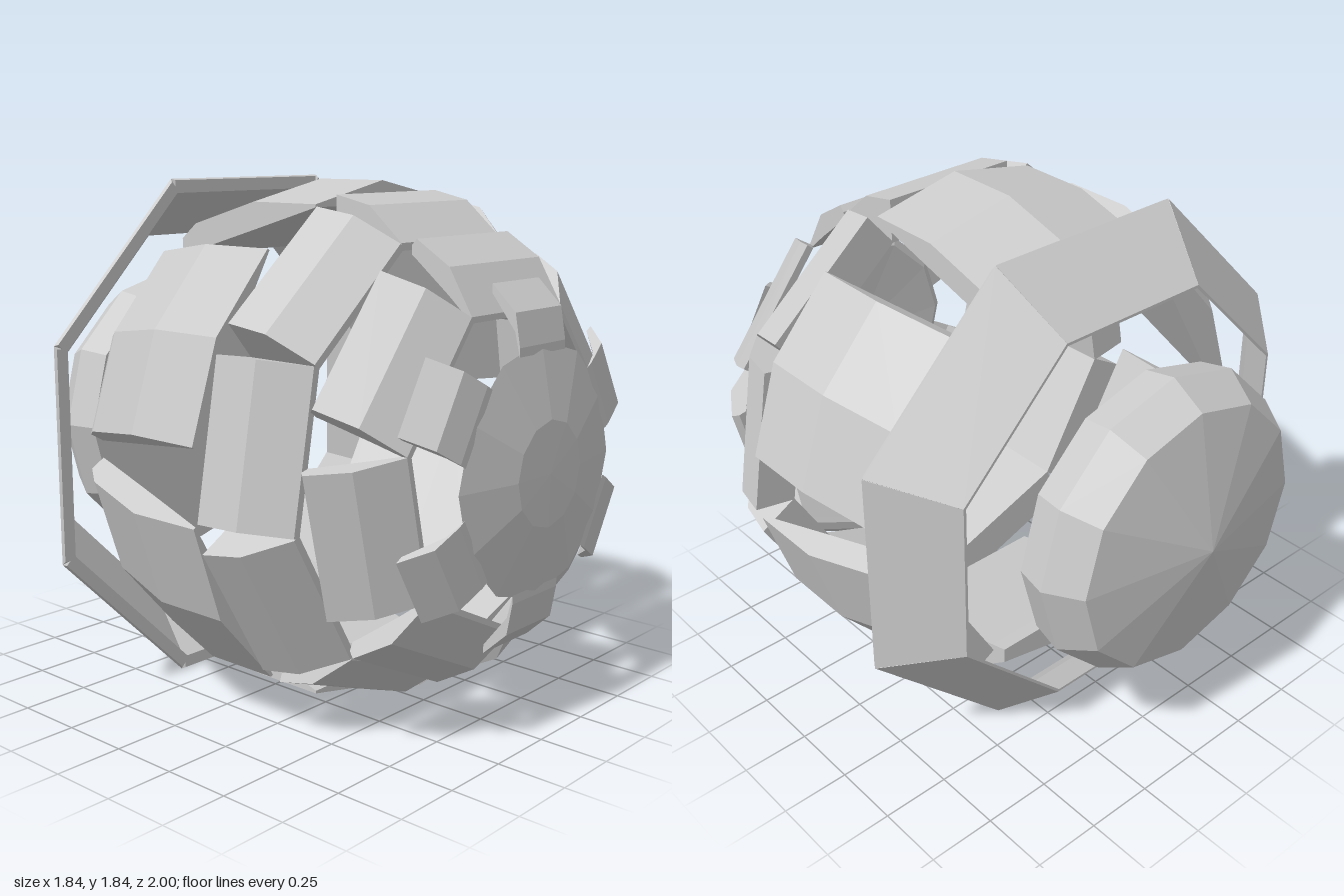
import * as THREE from 'three';

const material = new THREE.MeshStandardMaterial({ color: 0xcccccc, flatShading: true, side: THREE.DoubleSide });

// Wedge-shaped plate lofted along z; stations are [z, outerRadius, innerRadius, halfWidth] with z rising.
// drop lowers the outer side edges so that a ridge runs along the middle.
function plateGeometry(stations, drop = 0) {
  const loops = stations.map(([z, outer, inner, w]) => {
    const loop = [[-w, inner], [w, inner], [w, outer - drop]];
    if (drop) loop.push([0, outer]);
    loop.push([-w, outer - drop]);
    return loop.map(([x, y]) => [x, y, z]);
  });
  const n = loops[0].length;
  const pos = [];
  const tri = (a, b, c) => pos.push(...a, ...b, ...c);
  for (let s = 0; s < loops.length - 1; s++) {
    for (let i = 0; i < n; i++) {
      const j = (i + 1) % n;
      tri(loops[s][i], loops[s][j], loops[s + 1][j]);
      tri(loops[s][i], loops[s + 1][j], loops[s + 1][i]);
    }
  }
  const first = loops[0], last = loops[loops.length - 1];
  for (let i = 1; i < n - 1; i++) {
    tri(first[0], first[i + 1], first[i]);
    tri(last[0], last[i], last[i + 1]);
  }
  const geometry = new THREE.BufferGeometry();
  geometry.setAttribute('position', new THREE.Float32BufferAttribute(pos, 3));
  geometry.computeVertexNormals();
  return geometry;
}

// Ring of equal plates around the z axis, the first one on top
function plateRing(name, count, stations, drop) {
  const ring = new THREE.Group();
  ring.name = name;
  const geometry = plateGeometry(stations, drop);
  for (let i = 0; i < count; i++) {
    const plate = new THREE.Mesh(geometry, material);
    plate.name = name + 'Plate' + (i + 1);
    plate.rotation.z = (i / count) * Math.PI * 2;
    ring.add(plate);
  }
  return ring;
}

// Twelve-sided disc turned around the z axis; points are [radius, z] from back to front
function disc(name, points) {
  const profile = points.map(([r, z]) => new THREE.Vector2(r, z));
  const mesh = new THREE.Mesh(new THREE.LatheGeometry(profile, 12).rotateX(Math.PI / 2), material);
  mesh.name = name;
  return mesh;
}

export function createModel() {
  const model = new THREE.Group();
  model.name = 'segmentedSphere';
  const shell = new THREE.Group();
  shell.name = 'shell';
  shell.position.y = 0.92;
  model.add(shell);

  // Front cap with six bent tabs
  shell.add(disc('frontCap', [[0, 0.95], [0.4, 0.93], [0.43, 0.95], [0.18, 0.998], [0, 1]]));
  shell.add(plateRing('frontTabs', 6, [
    [0.845, 0.615, 0.585, 0.13],
    [0.935, 0.53, 0.47, 0.13],
    [0.955, 0.42, 0.39, 0.13],
  ]));

  // Front ring of seven plates
  shell.add(plateRing('frontRing', 7, [
    [0.615, 0.73, 0.7, 0.25],
    [0.635, 0.75, 0.685, 0.25],
    [0.765, 0.67, 0.58, 0.25],
    [0.855, 0.52, 0.5, 0.25],
  ]));

  // Second ring of nine plates
  shell.add(plateRing('secondRing', 9, [
    [0.31, 0.88, 0.72, 0.265],
    [0.45, 0.85, 0.715, 0.265],
    [0.585, 0.735, 0.71, 0.265],
  ]));

  // Middle ring of six long ridged plates
  shell.add(plateRing('middleRing', 6, [
    [-0.36, 0.78, 0.65, 0.34],
    [-0.29, 0.835, 0.67, 0.34],
    [0, 0.92, 0.755, 0.34],
    [0.285, 0.92, 0.84, 0.34],
  ], 0.07));

  // Flared eight-sided collar
  shell.add(plateRing('rearCollar', 8, [
    [-0.6, 0.715, 0.705, 0.296],
    [-0.37, 0.92, 0.885, 0.38],
    [-0.36, 0.915, 0.87, 0.37],
  ]));

  // Pointed rear cap
  shell.add(disc('rearCap', [[0, -1], [0.485, -0.905], [0.56, -0.78], [0.535, -0.66], [0, -0.66]]));

  return model;
}
